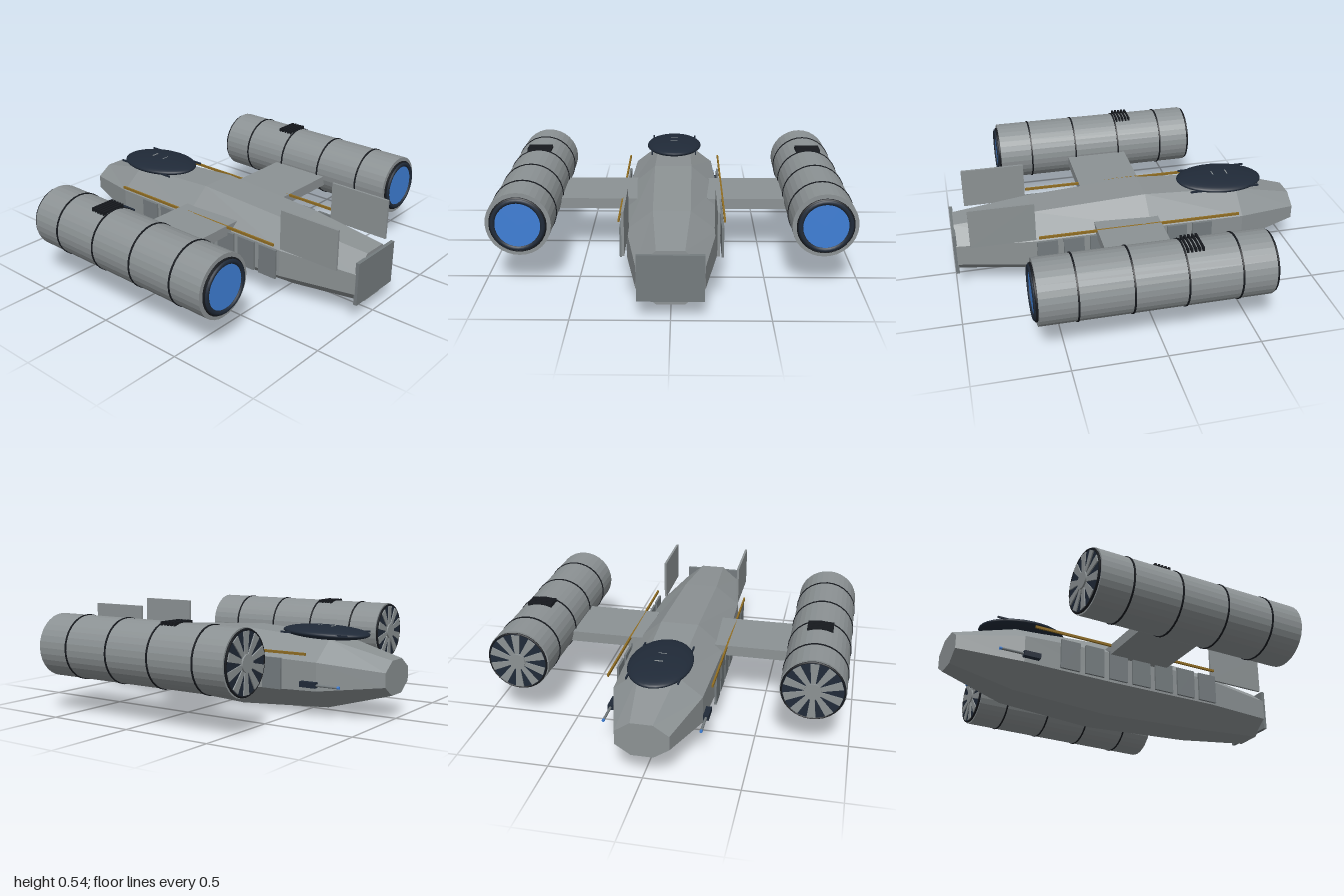
import * as THREE from 'three';

const mat = (name, color) => Object.assign(new THREE.MeshStandardMaterial({ color }), { name });

export function createModel() {
  const hullGrey = mat('hull grey', 0x8c9294);
  const panelGrey = mat('panel grey', 0x747b7e);
  const navy = mat('canopy navy', 0x202a38);
  const black = mat('trim black', 0x16191e);
  const blue = mat('exhaust blue', 0x3f7fd6);
  const brass = mat('rail brass', 0x8f6c22);

  const model = new THREE.Group();
  model.name = 'twinEngineShip';

  const add = (parent, name, geo, material, x = 0, y = 0, z = 0) => {
    const mesh = new THREE.Mesh(geo, material);
    mesh.name = name;
    mesh.position.set(x, y, z);
    parent.add(mesh);
    return mesh;
  };
  const box = (w, h, d) => new THREE.BoxGeometry(w, h, d);
  // Cylinder lying along z
  const tube = (r, len, seg = 24) => new THREE.CylinderGeometry(r, r, len, seg).rotateX(Math.PI / 2);
  const faceted = (geo) => {
    const g = geo.toNonIndexed();
    g.computeVertexNormals();
    return g;
  };

  // Hull: octagonal sections from nose to tail [z, half width, bottom, top]
  const stations = [
    [-1, 0.14, 0.135, 0.32],
    [-0.65, 0.24, 0.04, 0.41],
    [-0.1, 0.26, 0.005, 0.445],
    [0.55, 0.24, 0.04, 0.41],
    [0.985, 0.17, 0.085, 0.37],
  ];
  const r8 = 1 / Math.cos(Math.PI / 8);
  const hull = new THREE.CylinderGeometry(r8, r8, 4, 8, 4).rotateY(Math.PI / 8).rotateX(Math.PI / 2);
  const p = hull.attributes.position;
  for (let i = 0; i < p.count; i++) {
    const [z, w, lo, hi] = stations[Math.round(p.getZ(i) + 2)];
    p.setXYZ(i, p.getX(i) * w, (lo + hi) / 2 + p.getY(i) * (hi - lo) / 2, z);
  }
  add(model, 'hull', faceted(hull), hullGrey);
  add(model, 'tailPlate', box(0.335, 0.245, 0.02), panelGrey, 0, 0.23, 0.99);

  // Canopy: flattened ellipsoid with frame bars
  add(model, 'canopy', new THREE.SphereGeometry(1, 32, 20).scale(0.17, 0.036, 0.255), navy, 0, 0.437, -0.575).rotation.x = -0.03;
  for (const z of [-0.62, -0.535]) add(model, 'canopyRidge', box(0.045, 0.004, 0.006), hullGrey, 0, 0.472, z);

  // Engine nacelle, intake towards -z and exhaust towards +z
  function addEngine(s) {
    const engine = new THREE.Group();
    engine.name = s > 0 ? 'leftEngine' : 'rightEngine';
    engine.position.set(s * 0.795, 0.365, 0);
    model.add(engine);
    add(engine, 'casing', faceted(tube(0.172, 1.21, 32)), hullGrey, 0, 0, 0.035);
    for (const z of [-0.39, -0.11, 0.165, 0.445]) add(engine, 'band', tube(0.176, 0.009, 32), black, 0, 0, z);

    // Intake fan
    add(engine, 'intakeDisc', tube(0.162, 0.012, 32), navy, 0, 0, -0.575);
    add(engine, 'intakeRim', new THREE.TorusGeometry(0.162, 0.006, 6, 32), black, 0, 0, -0.578);
    const bladeShape = new THREE.Shape([[-0.01, 0.03], [0.01, 0.03], [0.023, 0.154], [-0.023, 0.154]]
      .map(([x, y]) => new THREE.Vector2(x, y)));
    const bladeGeo = new THREE.ExtrudeGeometry(bladeShape, { depth: 0.006, bevelEnabled: false });
    for (let i = 0; i < 10; i++) {
      add(engine, 'fanBlade', bladeGeo, hullGrey, 0, 0, -0.587).rotation.z = i * Math.PI / 5;
    }
    add(engine, 'fanHub', tube(0.045, 0.018, 20), hullGrey, 0, 0, -0.586);

    // Exhaust
    add(engine, 'exhaustRing', new THREE.TorusGeometry(0.131, 0.014, 8, 32), navy, 0, 0, 0.648);
    add(engine, 'exhaustLip', new THREE.TorusGeometry(0.143, 0.008, 6, 32), black, 0, 0, 0.645);
    add(engine, 'exhaustGlow', tube(0.121, 0.012, 32), blue, 0, 0, 0.646);

    // Cooling slats on top
    for (let i = 0; i < 5; i++) add(engine, 'ventSlat', box(0.14, 0.02, 0.011), black, 0, 0.168, -0.205 + i * 0.02);
  }

  for (const s of [1, -1]) {
    addEngine(s);
    add(model, 'wing', box(0.45, 0.06, 0.365), hullGrey, s * 0.42, 0.325, 0.033);
    add(model, 'tailFin', box(0.013, 0.228, 0.36), hullGrey, s * 0.233, 0.425, 0.73);
    add(model, 'canopyBar', box(0.008, 0.01, 0.41), navy, s * 0.135, 0.437, -0.57);

    // Side armour panels and the rail above them
    for (let i = 0; i < 7; i++) {
      add(model, 'sidePanel', box(0.012, 0.17, 0.115), panelGrey, s * 0.272, 0.23, 0.493 - i * 0.148);
    }
    add(model, 'sideRail', box(0.01, 0.014, 1.15), brass, s * 0.281, 0.348, -0.035);

    // Nose gun
    add(model, 'gunBody', box(0.03, 0.03, 0.095), navy, s * 0.258, 0.185, -0.615);
    add(model, 'gunBarrel', tube(0.007, 0.13, 10), panelGrey, s * 0.258, 0.185, -0.725);
    add(model, 'gunTip', tube(0.008, 0.012, 10), blue, s * 0.258, 0.185, -0.792);
  }
  return model;
}
